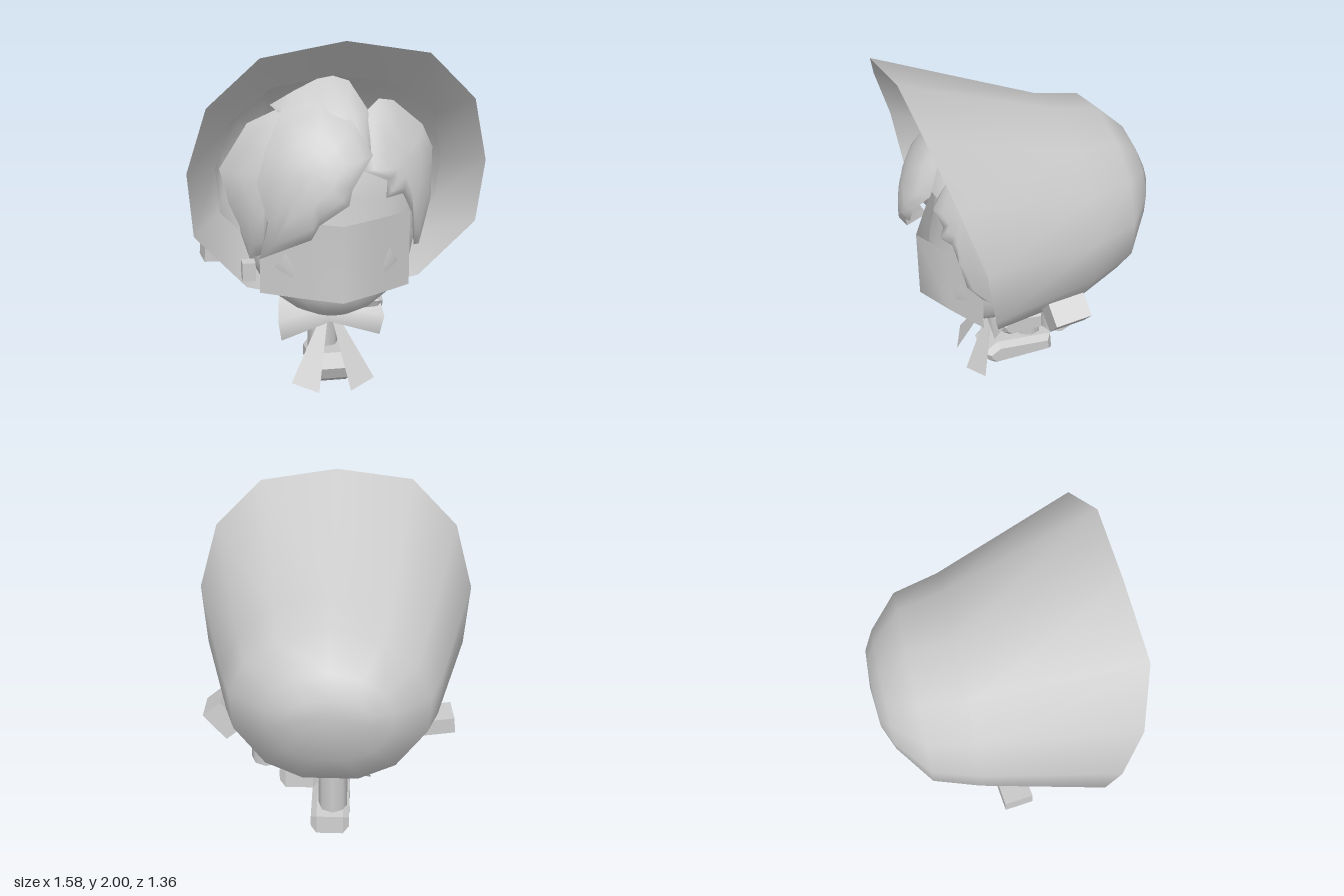
import * as THREE from 'three';

const grey = new THREE.MeshStandardMaterial({ color: 0xcccccc });
const thin = new THREE.MeshStandardMaterial({ color: 0xcccccc, side: THREE.DoubleSide });

function build(verts, index) {
  const g = new THREE.BufferGeometry();
  g.setAttribute('position', new THREE.Float32BufferAttribute(verts.flat(), 3));
  g.setIndex(index);
  g.computeVertexNormals();
  return g;
}

// Skin closed rings of equal length, ending in a fan to an optional tip
function loft(rings, tip) {
  const n = rings[0].length, idx = [];
  for (let r = 0; r < rings.length - 1; r++) for (let i = 0; i < n; i++) {
    const a = r * n + i, b = r * n + (i + 1) % n;
    idx.push(a, a + n, b, b, a + n, b + n);
  }
  if (!tip) return build(rings.flat(), idx);
  const last = (rings.length - 1) * n;
  for (let i = 0; i < n; i++) idx.push(last + i, rings.length * n, last + (i + 1) % n);
  return build([...rings.flat(), tip], idx);
}

// Outline draped over the rounded head, with its border turned back
function lock(outline, rz, mid) {
  const drape = (x, y) => [x, y, 0.05 + rz * Math.sqrt(Math.max(0, 1 - (x / 0.66) ** 2 - ((y - 1.1) / 0.68) ** 2))];
  const ring = s => outline.map(([x, y]) => drape(mid[0] + (x - mid[0]) * s, mid[1] + (y - mid[1]) * s));
  const border = ring(1).map(([x, y, z]) => [x, y, z - 0.035]);
  return loft([border, ring(0.8), ring(0.5), ring(0.25)], drape(...mid));
}

export function createModel() {
  const model = new THREE.Group();
  const add = (name, geo, mat = grey, pos = [0, 0, 0], rot = [0, 0, 0]) => {
    const m = new THREE.Mesh(geo, mat);
    m.name = name;
    m.position.set(...pos);
    m.rotation.set(...rot);
    model.add(m);
  };

  // Bonnet: flared, tilted rim running back to a rounded crown
  const half = [[0.43, 1.93, 0.64], [0.69, 1.68, 0.57], [0.79, 1.33, 0.47],
    [0.76, 0.98, 0.42], [0.48, 0.65, 0.31], [0.2, 0.52, 0.16]];
  const rim = [[0, 2, 0.65], ...half, ...half.slice().reverse().map(([x, y, z]) => [-x, y, z + 0.04])];
  const crown = (cy, rx, ry, z) => rim.map(([x, y]) => {
    const a = Math.atan2(x, y - 1.2);
    return [rx * Math.sin(a), cy + ry * Math.cos(a), z];
  });
  add('bonnet', loft([rim, crown(1.09, 0.61, 0.58, -0.2), crown(1.13, 0.54, 0.49, -0.45),
    crown(1.18, 0.34, 0.28, -0.61), crown(1.22, 0.22, 0.12, -0.665)], [0, 1.24, -0.68]), thin);

  // Lining from the rim to the face opening
  const opening = rim.map(([x, y, z]) => [x * 0.79, 1.15 + (y - 1.15) * 0.75, z - 0.28]);
  add('bonnetLining', loft([opening, rim]), thin);

  // Head with a forward chin
  const head = new THREE.SphereGeometry(1, 20, 14);
  const p = head.attributes.position;
  for (let i = 0; i < p.count; i++) {
    const y = 1.02 + 0.56 * p.getY(i);
    p.setXYZ(i, 0.5 * p.getX(i), y, 0.12 + 0.36 * p.getZ(i) + 0.38 * Math.max(0, 1 - y));
  }
  head.computeVertexNormals();
  add('head', head);

  // Face band wrapped around the lower face
  const band = [[-0.41, 0.37], [-0.2, 0.5], [0, 0.61], [0.2, 0.5], [0.41, 0.37]];
  const bandIdx = [];
  for (let i = 0; i < 4; i++) bandIdx.push(2 * i, 2 * i + 2, 2 * i + 1, 2 * i + 1, 2 * i + 2, 2 * i + 3);
  add('faceBand', build(band.flatMap(([x, z]) => [[x, 0.62, z], [x, 1.04, z]]), bandIdx), thin);

  // Hair
  add('frontLock', lock([[-0.08, 1.68], [-0.28, 1.61], [-0.38, 1.42], [-0.43, 1.25], [-0.38, 1.05],
    [-0.42, 0.83], [-0.17, 0.98], [-0.13, 1.06], [0.02, 1.16], [0.04, 1.24], [0.16, 1.4], [0.07, 1.56]],
    0.63, [-0.16, 1.34]), thin);
  add('rightLock', lock([[-0.1, 1.68], [-0.28, 1.61], [-0.45, 1.52], [-0.6, 1.27], [-0.56, 1.1],
    [-0.48, 0.92], [-0.46, 0.8], [-0.4, 0.84], [-0.36, 1.1], [-0.2, 1.4]], 0.53, [-0.4, 1.3]), thin);
  add('topLock', lock([[-0.33, 1.62], [-0.2, 1.69], [-0.01, 1.76], [0.1, 1.73], [0.17, 1.6],
    [0.16, 1.38], [0, 1.4], [-0.2, 1.5]], 0.58, [0.02, 1.57]), thin);
  add('leftLock', lock([[0.14, 1.58], [0.25, 1.64], [0.34, 1.62], [0.52, 1.47], [0.57, 1.35], [0.53, 1.1],
    [0.47, 0.84], [0.43, 0.85], [0.4, 1.05], [0.34, 1.17], [0.24, 1.16], [0.25, 1.25], [0.12, 1.31]],
    0.55, [0.36, 1.36]), thin);
  add('hairTie', new THREE.BoxGeometry(0.07, 0.1, 0.08), grey, [-0.47, 0.75, 0.36]);

  // Legs and wedge-shaped feet
  const profile = new THREE.Shape([[-0.27, 0.1], [-0.24, 0.03], [-0.2, 0], [0.17, 0], [0.16, 0.12], [-0.18, 0.16]]
    .map(a => new THREE.Vector2(...a)));
  const foot = new THREE.ExtrudeGeometry(profile, {
    depth: 0.16, bevelEnabled: true, bevelSize: 0.03, bevelOffset: -0.03, bevelThickness: 0.035, bevelSegments: 1,
  }).rotateY(Math.PI / 2).translate(-0.08, 0, 0);
  add('standingFoot', foot, grey, [0.015, 0, 0]);
  add('raisedFoot', foot, grey, [0.19, 0.38, -0.03]);
  add('standingLeg', new THREE.CylinderGeometry(0.087, 0.087, 0.5, 8), grey, [0, 0.33, -0.04]);
  add('raisedLeg', new THREE.CylinderGeometry(0.09, 0.09, 0.17, 8), grey, [0.38, 0.585, -0.07], [0, 0, 0.04]);

  // Arms: short stubs on either side
  add('leftArm', new THREE.BoxGeometry(0.13, 0.2, 0.2), grey, [0.62, 0.785, -0.03], [0.1, 0, -0.7]);
  add('rightArm', new THREE.BoxGeometry(0.34, 0.1, 0.16), grey, [-0.52, 0.75, -0.02], [0, 0.1, -0.08]);

  // Neck bow: two loops, two tails and a knot
  for (const s of [-1, 1]) {
    const side = s < 0 ? 'right' : 'left';
    add(side + 'BowLoop', build([[0, 0.46, 0.19], [s * 0.28, 0.52, 0.15], [s * 0.3, 0.4, 0.27],
      [s * 0.28, 0.28, 0.24], [0, 0.37, 0.23]], [0, 1, 2, 0, 2, 4, 2, 3, 4]), thin);
    add(side + 'BowTail', build([[s * 0.015, 0.37, 0.21], [s * 0.065, 0.36, 0.2], [s * 0.235, 0.05, 0.31],
      [s * 0.09, 0.01, 0.38]], [0, 1, 2, 0, 2, 3]), thin);
  }
  add('bowKnot', new THREE.BoxGeometry(0.1, 0.09, 0.04), grey, [0, 0.42, 0.19], [-0.3, 0, 0]);

  return model;
}
